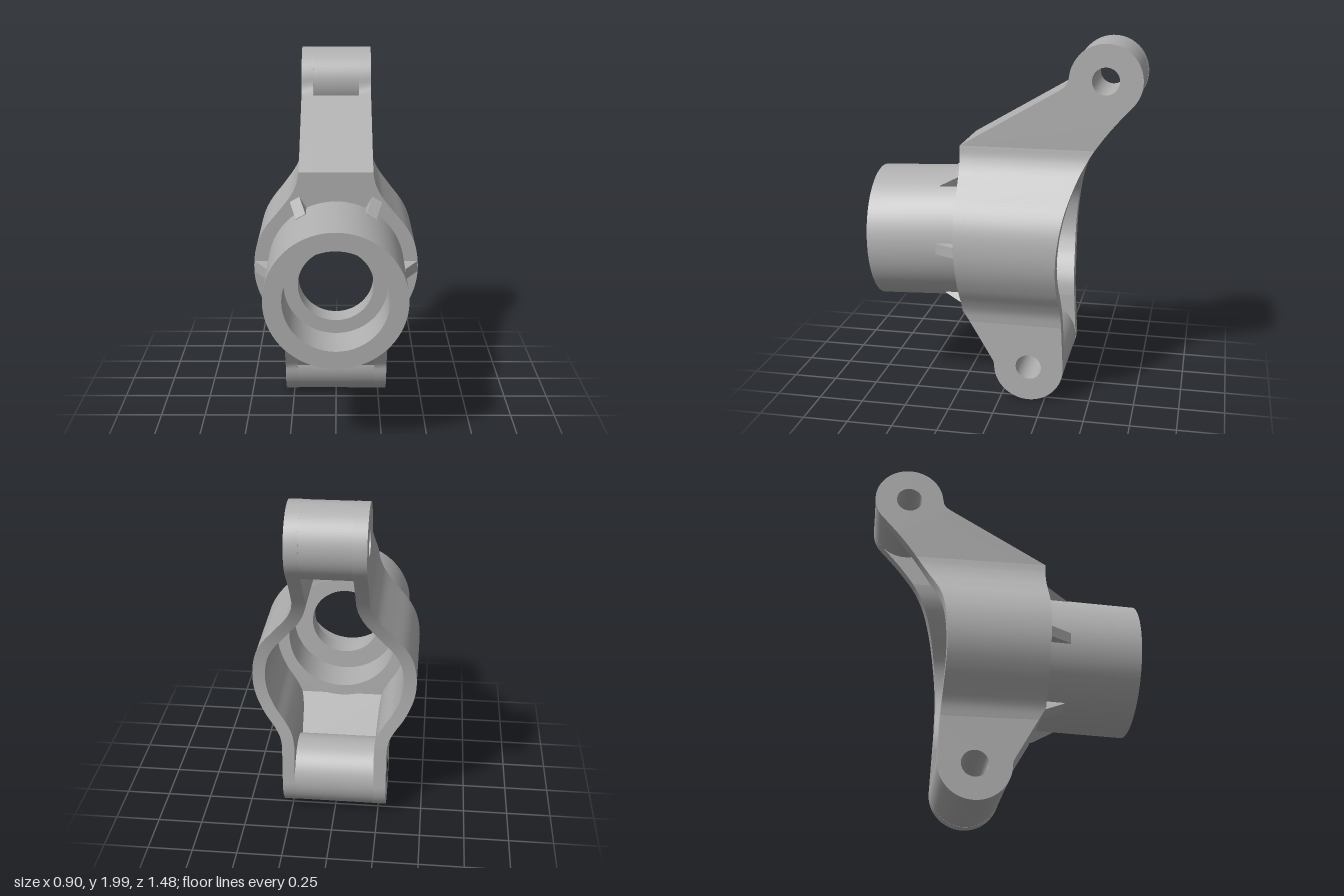
import * as THREE from 'three';
import { toCreasedNormals } from 'three/addons/utils/BufferGeometryUtils.js';

const T = 0.07; // wall thickness
const TOP = { z: -0.545, y: 1.805, half: 0.2 };
const BOTTOM = { z: -0.16, y: 0.2, half: 0.295 };
const BOSS_R = 0.195, PIN_R = 0.073, HUB_Y = 0.906, TILT = 0.04;

const v2 = (list) => list.map(([a, b]) => new THREE.Vector2(a, b));

// Look up the first coordinate of a curve at height y (points ordered by y)
function lookup(pts, y) {
  let i = 1;
  while (i < pts.length - 1 && pts[i].y < y) i++;
  const a = pts[i - 1], b = pts[i];
  return a.x + (b.x - a.x) * (y - a.y) / (b.y - a.y);
}

// Front and back limits of the housing as (z, y)
const frontLine = v2([[0.03, 0.207], [0.21, 0.515], [0.241, 1.432], [-0.347, 1.777]]);
const backLine = new THREE.SplineCurve(v2([[-0.353, 0.217], [-0.343, 0.45], [-0.326, 0.8],
  [-0.347, 1.05], [-0.395, 1.236], [-0.47, 1.395], [-0.575, 1.544], [-0.7, 1.687]])).getPoints(84);
const zFront = (y) => lookup(frontLine, y);
const zBack = (y) => lookup(backLine, y);

// Half outline seen from the front as (x, y), top to bottom
const outline = new THREE.SplineCurve(v2([[0.2, 1.432], [0.212, 1.37], [0.245, 1.3], [0.31, 1.215],
  [0.39, 1.114], [0.435, 1.013], [0.45, 0.89], [0.435, 0.777], [0.39, 0.666], [0.337, 0.58],
  [0.306, 0.515], [0.295, 0.45]])).getPoints(66);

// Extrude a (z, y) shape along x between x0 and x0 + width
function extrudeX(shape, x0, width) {
  const g = new THREE.ExtrudeGeometry(shape, { depth: width, bevelEnabled: false, curveSegments: 40 });
  g.rotateY(-Math.PI / 2).translate(x0 + width, 0, 0);
  return toCreasedNormals(g, 0.5);
}

function pinHole(shape, b) {
  shape.holes.push(new THREE.Path().absarc(b.z, b.y, PIN_R, 0, Math.PI * 2, true));
  return shape;
}

function arc(b, from, to, n = 36) {
  return Array.from({ length: n + 1 }, (_, i) => {
    const a = THREE.MathUtils.degToRad(from + (to - from) * i / n);
    return new THREE.Vector2(b.z + BOSS_R * Math.cos(a), b.y + BOSS_R * Math.sin(a));
  });
}

// Curved wall around the hub: four strips lofted down the outline
function curvedWall(side) {
  const last = outline.length - 1, pos = [], idx = [];
  const rings = outline.map((p, i) => {
    const t = outline[Math.min(i + 1, last)].clone().sub(outline[Math.max(i - 1, 0)]).normalize();
    const end = i === 0 || i === last;
    const q = end ? new THREE.Vector2(p.x - T, p.y) : new THREE.Vector2(p.x + t.y * T, p.y - t.x * T);
    return [[p.x, p.y, zFront(p.y)], [p.x, p.y, zBack(p.y)],
      [q.x, q.y, zBack(q.y)], [q.x, q.y, zFront(q.y)]];
  });
  for (let k = 0; k < 4; k++) {
    const base = pos.length / 3;
    for (const r of rings) {
      for (const c of [r[k], r[(k + 1) % 4]]) pos.push(side * c[0], c[1], c[2]);
    }
    for (let i = 0; i < last; i++) {
      const a = base + i * 2, b = a + 1, c = a + 2, d = a + 3;
      if (side > 0) idx.push(a, c, b, b, c, d);
      else idx.push(a, b, c, b, d, c);
    }
  }
  const g = new THREE.BufferGeometry();
  g.setAttribute('position', new THREE.Float32BufferAttribute(pos, 3));
  g.setIndex(idx);
  g.computeVertexNormals();
  return g;
}

export function createModel() {
  const group = new THREE.Group();
  const grey = new THREE.MeshStandardMaterial({ color: 0xb0b0b0 });
  grey.name = 'grey';
  const add = (name, geometry, parent = group) => {
    const m = new THREE.Mesh(geometry, grey);
    m.name = name;
    parent.add(m);
    return m;
  };

  // Side profiles of the two arms
  const backSamples = [1.66, 1.62, 1.58, 1.54, 1.5, 1.46, 1.432].map((y) => new THREE.Vector2(zBack(y), y));
  const upper = pinHole(new THREE.Shape([
    ...v2([[0.241, 1.432], [-0.305, 1.752], [-0.33, 1.769], [-0.344, 1.79]]),
    ...arc(TOP, 5, 217), ...backSamples]), TOP);
  const lower = pinHole(new THREE.Shape([
    ...v2([[0.172, 0.45], [0.05, 0.241], [0.038, 0.218]]),
    ...arc(BOTTOM, 0, -185), ...v2([[-0.343, 0.45]])]), BOTTOM);

  // Side walls, mirrored
  for (const side of [1, -1]) {
    const label = side > 0 ? 'left' : 'right';
    add(label + 'CurvedWall', curvedWall(side));
    for (const [name, shape, b] of [['UpperArmWall', upper, TOP], ['LowerArmWall', lower, BOTTOM]]) {
      add(label + name, extrudeX(shape, side > 0 ? b.half - T : -b.half, T));
    }
  }

  // Solid pin bosses between the walls
  for (const [name, b] of [['upperBoss', TOP], ['lowerBoss', BOTTOM]]) {
    const ring = new THREE.Shape().absarc(b.z, b.y, BOSS_R - 0.001, 0, Math.PI * 2);
    add(name, extrudeX(pinHole(ring, b), -b.half + 0.01, 2 * b.half - 0.02));
  }

  // Sloping front plates
  const upperSlope = new THREE.Shape(v2([[0.241, 1.432], [-0.305, 1.752], [-0.4, 1.73], [0.171, 1.392]]));
  const lowerSlope = new THREE.Shape(v2([[0.21, 0.515], [0.04, 0.224], [-0.03, 0.242], [0.14, 0.533]]));
  add('upperSlopePlate', extrudeX(upperSlope, -0.2, 0.4));
  add('lowerSlopePlate', extrudeX(lowerSlope, -0.295, 0.59));

  // Front plate with the hub opening, leaned to follow the front line
  const half = outline.slice(0, 61);
  const face = new THREE.Shape([...half, ...half.map((p) => new THREE.Vector2(-p.x, p.y)).reverse()]);
  face.holes.push(new THREE.Path().absarc(0, 0.893, 0.34, 0, Math.PI * 2, true));
  const plate = new THREE.ExtrudeGeometry(face, { depth: T, bevelEnabled: false, curveSegments: 48 });
  const p = plate.attributes.position;
  for (let i = 0; i < p.count; i++) p.setZ(i, p.getZ(i) - T + zFront(p.getY(i)));
  add('frontPlate', toCreasedNormals(plate, 0.5));

  // Hub sleeve with stepped bore
  const hub = new THREE.Group();
  hub.name = 'hub';
  hub.position.y = HUB_Y;
  hub.rotation.x = TILT;
  group.add(hub);
  const sleeve = new THREE.LatheGeometry(v2([[0.31, 0.145], [0.373, 0.145], [0.373, 0.73], [0.275, 0.73],
    [0.275, 0.5], [0.2, 0.5], [0.2, 0.38], [0.31, 0.38], [0.31, 0.145]]), 72);
  sleeve.rotateX(Math.PI / 2);
  add('hubSleeve', toCreasedNormals(sleeve, 0.5), hub);

  // Six small gussets around the sleeve
  const gusset = new THREE.Shape(v2([[0.355, 0.2], [0.445, 0.2], [0.445, 0.225], [0.377, 0.34], [0.355, 0.34]]));
  for (let i = 0; i < 6; i++) {
    const g = new THREE.ExtrudeGeometry(gusset, { depth: 0.06, bevelEnabled: false });
    g.translate(0, 0, -0.03).rotateX(Math.PI / 2).rotateZ(i * Math.PI / 3);
    add('gusset', g, hub);
  }
  return group;
}
